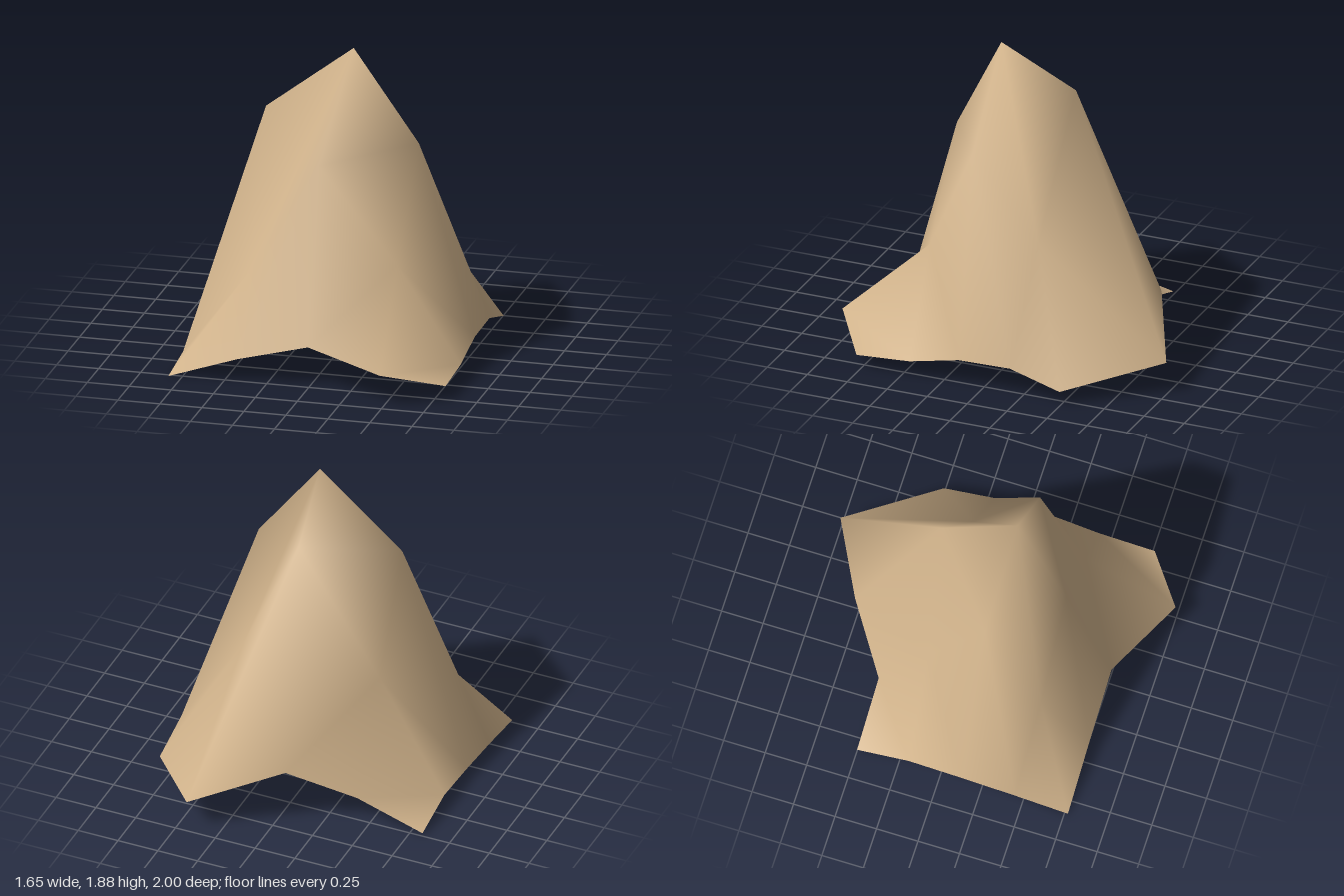
import * as THREE from 'three';

// Cross-sections of the draped sheet, back to front; each runs from x- to x+ as [x, y, z].
const ROWS = [
  [[-0.83, 0.02, -0.5], [-0.42, 0.15, -0.5], [-0.08, 0.39, -0.75], [0.43, 0.2, -1.0], [0.82, 0.09, -0.5]],
  [[-0.83, 0.09, -0.19], [-0.43, 0.8, -0.2], [0.05, 1.63, -0.27], [0.43, 0.8, -0.2], [0.82, 0.18, -0.19]],
  [[-0.83, 0.07, 0.13], [-0.42, 1.47, 0.14], [0.11, 1.88, 0.17], [0.5, 1.34, 0.18], [0.82, 0.175, 0.13]],
  [[-0.83, 0.04, 0.45], [-0.43, 0.57, 0.48], [-0.01, 1.26, 0.5], [0.45, 0.69, 0.47], [0.82, 0.11, 0.44]],
  [[-0.83, 0.0, 0.77], [-0.42, 0.14, 0.77], [0.0, 0.25, 0.77], [0.49, 0.2, 1.0], [0.82, 0.09, 0.77]],
];

// Joins neighbouring cross-sections into one smooth open surface
function loft(rows) {
  const n = rows[0].length;
  const index = [];
  for (let i = 0; i < rows.length - 1; i++) {
    for (let j = 0; j < n - 1; j++) {
      const a = i * n + j, b = a + n, c = b + 1, d = a + 1;
      index.push(a, b, d, b, c, d);
    }
  }
  const geometry = new THREE.BufferGeometry();
  geometry.setAttribute('position', new THREE.Float32BufferAttribute(rows.flat(2), 3));
  geometry.setIndex(index);
  geometry.computeVertexNormals();
  return geometry;
}

export function createModel() {
  const cloth = new THREE.MeshStandardMaterial({ color: 0xd2b48c, side: THREE.DoubleSide });
  cloth.name = 'tan cloth';

  // Peaked sheet, open underneath, with its corners pulled out
  const sheet = new THREE.Mesh(loft(ROWS), cloth);
  sheet.name = 'drapedSheet';

  const model = new THREE.Group();
  model.name = 'drapedCloth';
  model.add(sheet);
  return model;
}
